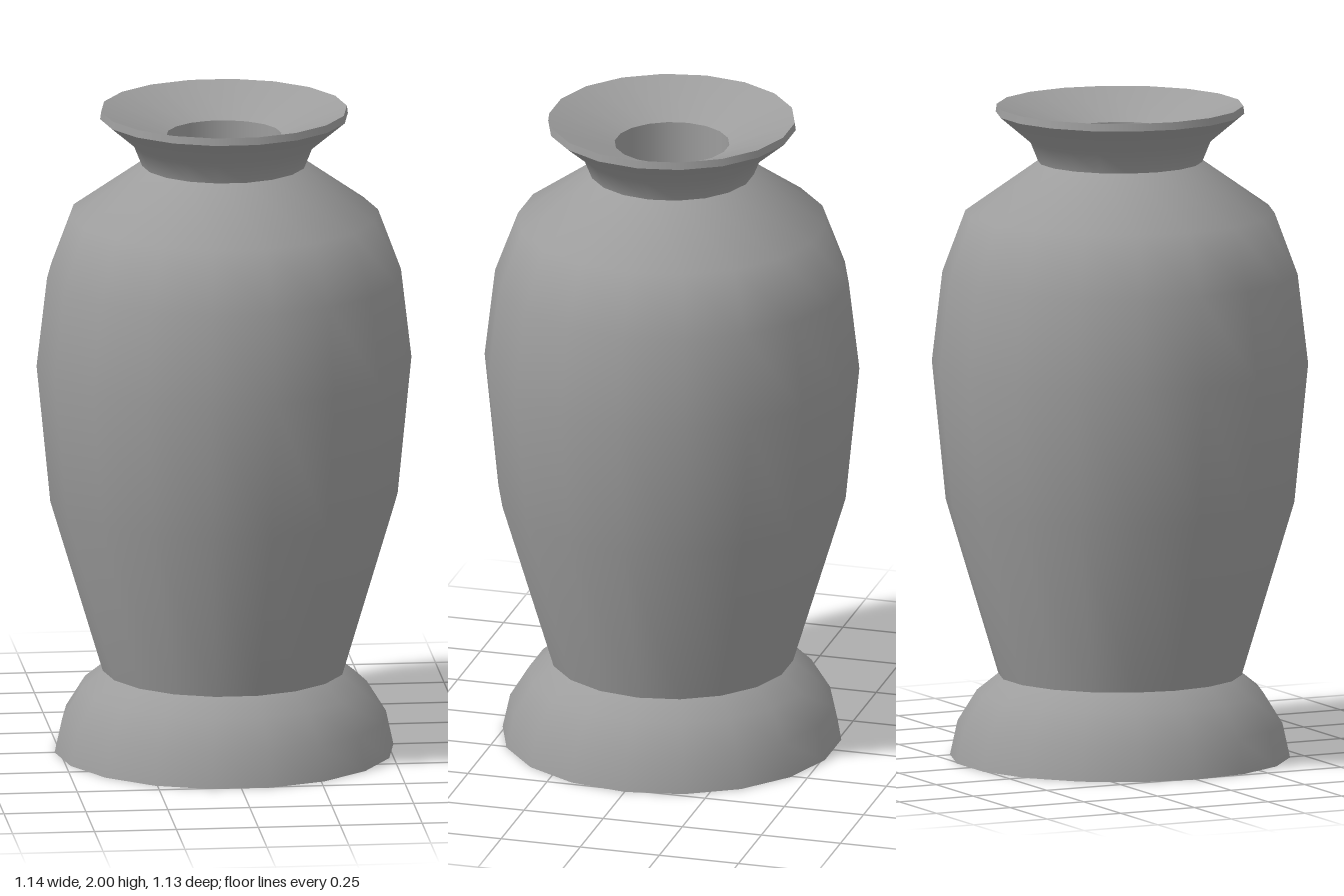
import * as THREE from 'three';

const SIDES = 18;
const material = new THREE.MeshStandardMaterial({ color: 0x9d9d9d });

// Each profile is a smooth ring of the vase; creases fall between profiles.
// Points run up the outside, over the rim and down the inside: [radius, height].
const profiles = {
  underside: [[0, 0], [0.517, 0]],
  foot: [[0.517, 0], [0.494, 0.105], [0.435, 0.2], [0.37, 0.252]],
  body: [[0.37, 0.252], [0.53, 0.785], [0.572, 1.21], [0.54, 1.485], [0.47, 1.673], [0.25, 1.828]],
  neck: [[0.25, 1.828], [0.275, 1.89], [0.378, 1.977]],
  lip: [[0.378, 1.977], [0.375, 2]],
  funnel: [[0.375, 2], [0.175, 1.92]],
  innerWall: [[0.175, 1.92], [0.175, 0.25]],
  innerFloor: [[0.175, 0.25], [0, 0.25]],
};

function turned(name, profile) {
  const points = profile.map(([r, y]) => new THREE.Vector2(r, y));
  const mesh = new THREE.Mesh(new THREE.LatheGeometry(points, SIDES, Math.PI / 2), material);
  mesh.name = name;
  return mesh;
}

export function createModel() {
  const vase = new THREE.Group();
  vase.name = 'vase';
  for (const [name, profile] of Object.entries(profiles)) vase.add(turned(name, profile));
  return vase;
}
